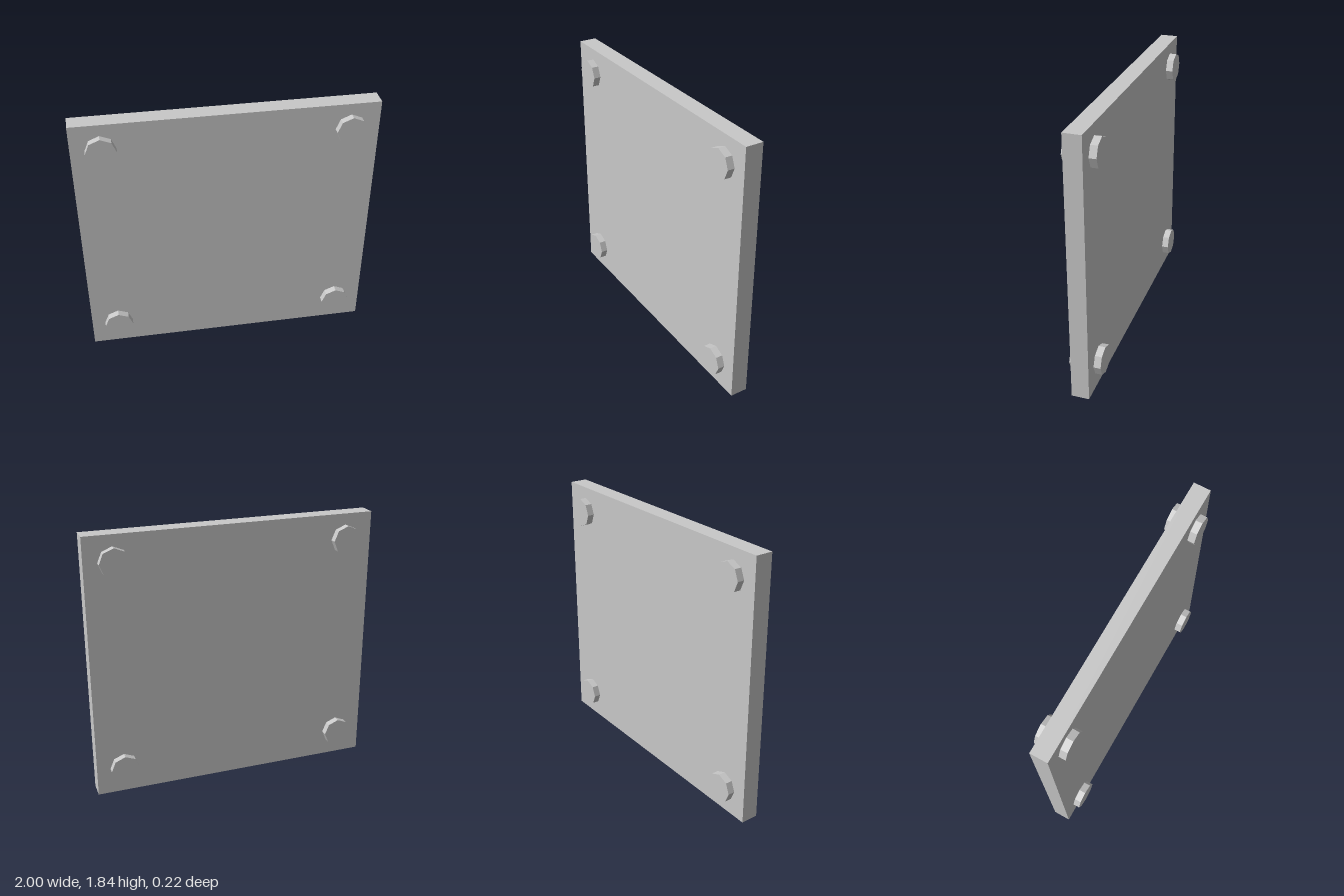
import * as THREE from 'three';

export function createModel() {
  const model = new THREE.Group();
  const grey = new THREE.MeshStandardMaterial({ name: 'lightGrey', color: 0xc8c8c8, flatShading: true });
  const height = 1.84;

  // Flat rectangular panel
  const plate = new THREE.Mesh(new THREE.BoxGeometry(2, height, 0.12), grey);
  plate.name = 'plate';
  plate.position.y = height / 2;
  model.add(plate);

  // Eight-sided bolts passing through each corner, standing proud of both faces
  const boltGeometry = new THREE.CylinderGeometry(0.1, 0.1, 0.216, 8).rotateX(Math.PI / 2);
  for (const [side, sx] of [['Left', 1], ['Right', -1]]) {
    for (const [level, y] of [['lower', 0.187], ['upper', 1.663]]) {
      const bolt = new THREE.Mesh(boltGeometry, grey);
      bolt.name = level + side + 'Bolt';
      bolt.position.set(sx * 0.807, y, 0);
      model.add(bolt);
    }
  }
  return model;
}
